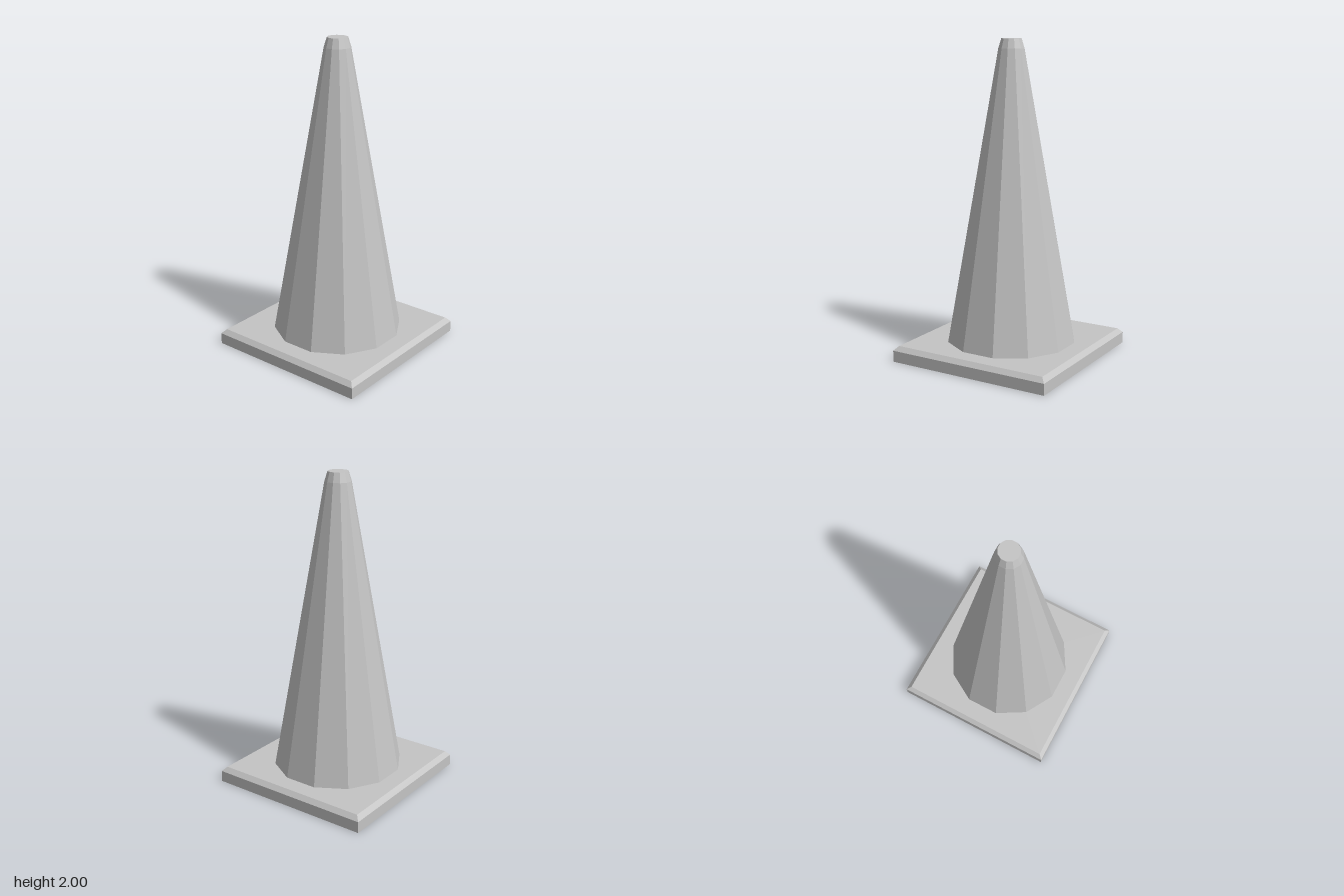
import * as THREE from 'three';

const grey = new THREE.MeshStandardMaterial({ color: 0xc4c4c4 });
grey.name = 'grey';
grey.flatShading = true;

// Tapered prism given by the distances from its axis to its flat sides
function frustum(name, sides, topInset, bottomInset, y0, y1, open = false) {
  const k = 1 / Math.cos(Math.PI / sides);
  const geometry = new THREE.CylinderGeometry(topInset * k, bottomInset * k, y1 - y0, sides, 1, open);
  geometry.rotateY(Math.PI / sides);
  geometry.translate(0, (y0 + y1) / 2, 0);
  const mesh = new THREE.Mesh(geometry.toNonIndexed(), grey);
  mesh.geometry.computeVertexNormals();
  mesh.name = name;
  return mesh;
}

export function createModel() {
  const model = new THREE.Group();
  model.name = 'trafficCone';
  model.add(
    // Square foot with a bevelled upper edge
    frustum('baseSlab', 4, 0.54, 0.54, 0, 0.072),
    frustum('baseBevel', 4, 0.513, 0.54, 0.072, 0.1),
    // Twelve-sided cone with a narrower closed tip
    frustum('coneBody', 12, 0.08, 0.4, 0.1, 1.94, true),
    frustum('coneTip', 12, 0.062, 0.08, 1.94, 2),
  );
  return model;
}
